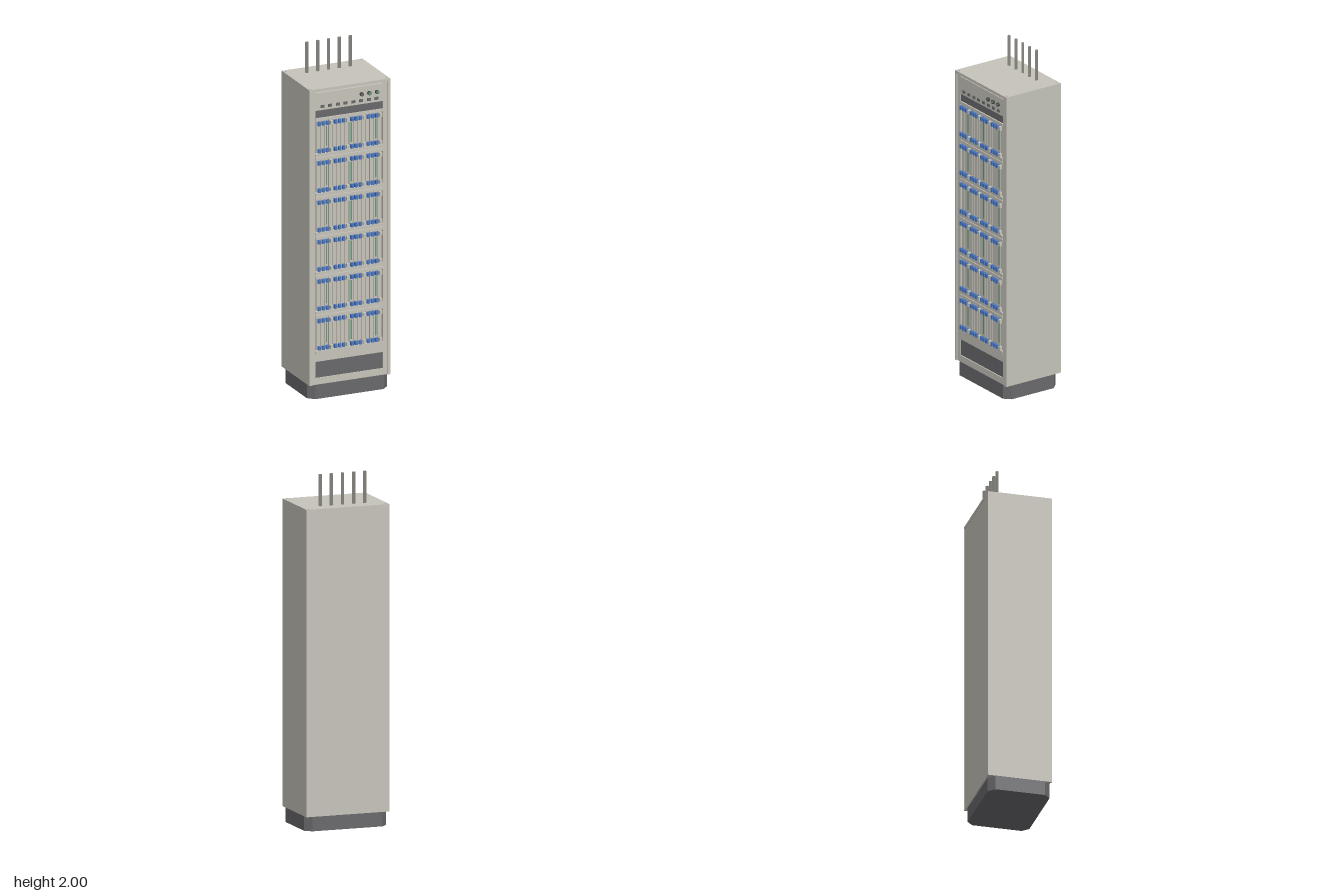
import * as THREE from 'three';

const mat = (name, color) => {
  const m = new THREE.MeshStandardMaterial({ color });
  m.name = name;
  return m;
};

export function createModel() {
  const beige = mat('beige paint', 0xc5c3b9);
  const dark = mat('dark grey', 0x69696c);
  const black = mat('shadow grey', 0x4a4a4a);
  const blue = mat('blue handle', 0x4a78c4);
  const green = mat('green indicator', 0x5f9a78);
  const metal = mat('rod metal', 0x8e8c86);

  const root = new THREE.Group();
  root.name = 'equipmentCabinet';

  const add = (parent, name, geo, material, x, y, z) => {
    const m = new THREE.Mesh(geo, material);
    m.name = name;
    m.position.set(x, y, z);
    parent.add(m);
    return m;
  };
  // Box given by its lower and upper limits on each axis
  const box = (parent, name, material, x0, x1, y0, y1, z0, z1) =>
    add(parent, name, new THREE.BoxGeometry(x1 - x0, y1 - y0, z1 - z0), material,
      (x0 + x1) / 2, (y0 + y1) / 2, (z0 + z1) / 2);

  // Plinth with chamfered corners
  const w = 0.245, d = 0.178, c = 0.036;
  const outline = new THREE.Shape([
    [-w + c, -d], [w - c, -d], [w, -d + c], [w, d - c],
    [w - c, d], [-w + c, d], [-w, d - c], [-w, -d + c],
  ].map(([x, y]) => new THREE.Vector2(x, y)));
  const plinth = new THREE.ExtrudeGeometry(outline, { depth: 0.083, bevelEnabled: false });
  plinth.rotateX(-Math.PI / 2);
  add(root, 'plinth', plinth, dark, 0, 0, -0.002);

  // Shell: floor, roof, back, sides and front posts
  box(root, 'floor', beige, -0.232, 0.232, 0.083, 0.1, -0.187, 0.172);
  box(root, 'roof', beige, -0.247, 0.247, 1.803, 1.82, -0.19, 0.18);
  box(root, 'backPanel', beige, -0.235, 0.235, 0.09, 1.803, -0.187, -0.17);
  box(root, 'innerWall', black, -0.232, 0.232, 0.1, 1.803, -0.17, 0.152);
  for (const s of [-1, 1]) {
    const side = new THREE.BoxGeometry(0.015, 1.72, 0.37);
    add(root, 'sidePanel', side, beige, s * 0.2395, 0.943, -0.005);
    add(root, 'frontPost', new THREE.BoxGeometry(0.026, 1.72, 0.03), beige, s * 0.219, 0.943, 0.159);
    // Roof bolts
    for (const z of [-0.174, 0.163])
      add(root, 'roofBolt', new THREE.CylinderGeometry(0.003, 0.003, 0.002, 4), metal, s * 0.23, 1.8205, z);
  }

  // Antenna rods
  for (let i = -2; i <= 2; i++) {
    const rod = new THREE.CylinderGeometry(0.01, 0.01, 0.18, 4).toNonIndexed();
    rod.computeVertexNormals();
    add(root, 'antennaRod', rod, metal, i * 0.0662, 1.91, -0.105);
  }

  // Control panel with buttons and round lamps
  const panel = new THREE.Group();
  panel.name = 'controlPanel';
  root.add(panel);
  box(panel, 'panelPlate', beige, -0.206, 0.206, 1.692, 1.795, 0.152, 0.174);
  box(panel, 'ventStrip', dark, -0.206, 0.206, 1.645, 1.692, 0.152, 0.168);
  for (let i = 0; i < 8; i++) {
    const x = -0.167 + i * 0.0475;
    box(panel, 'button', dark, x - 0.011, x + 0.011, 1.706, 1.722, 0.174, 0.179);
  }
  [0.073, 0.119, 0.166].forEach((x, i) => {
    const bezel = new THREE.CylinderGeometry(0.011, 0.011, 0.014, 12);
    bezel.rotateX(Math.PI / 2);
    add(panel, 'lampBezel', bezel, black, x, 1.752, 0.18);
    const lens = new THREE.CylinderGeometry(0.008, 0.008, 0.003, 12);
    lens.rotateX(Math.PI / 2);
    add(panel, 'lampLens', lens, i ? green : dark, x, 1.752, 0.187);
  });

  // Six card racks, each with sixteen plug-in cards between two rails
  const cardGeo = new THREE.BoxGeometry(0.0215, 0.188, 0.016);
  const handleGeo = new THREE.BoxGeometry(0.0155, 0.022, 0.016);
  const stripGeo = new THREE.BoxGeometry(0.007, 0.115, 0.004);
  for (let r = 0; r < 6; r++) {
    const rack = new THREE.Group();
    rack.name = 'cardRack';
    rack.position.y = 1.535 - r * 0.2315;
    root.add(rack);
    box(rack, 'upperRail', beige, -0.206, 0.206, 0.096, 0.112, 0.152, 0.176);
    box(rack, 'lowerRail', beige, -0.206, 0.206, -0.116, -0.097, 0.152, 0.176);
    for (let i = 0; i < 16; i++) {
      const x = (i - 7.5) * 0.025;
      add(rack, 'card', cardGeo, beige, x, 0, 0.16);
      for (const y of [0.08, -0.08])
        add(rack, 'cardHandle', handleGeo, i % 4 === 3 ? beige : blue, x, y, 0.18);
      if (i % 6 === 2) add(rack, 'statusStrip', stripGeo, green, x, 0, 0.168);
    }
  }

  // Lower front: blank plate, dark drawer and sill
  box(root, 'blankPlate', beige, -0.206, 0.206, 0.217, 0.265, 0.15, 0.172);
  box(root, 'drawer', dark, -0.206, 0.206, 0.122, 0.217, 0.15, 0.168);
  box(root, 'sill', beige, -0.206, 0.206, 0.085, 0.122, 0.15, 0.174);

  return root;
}
